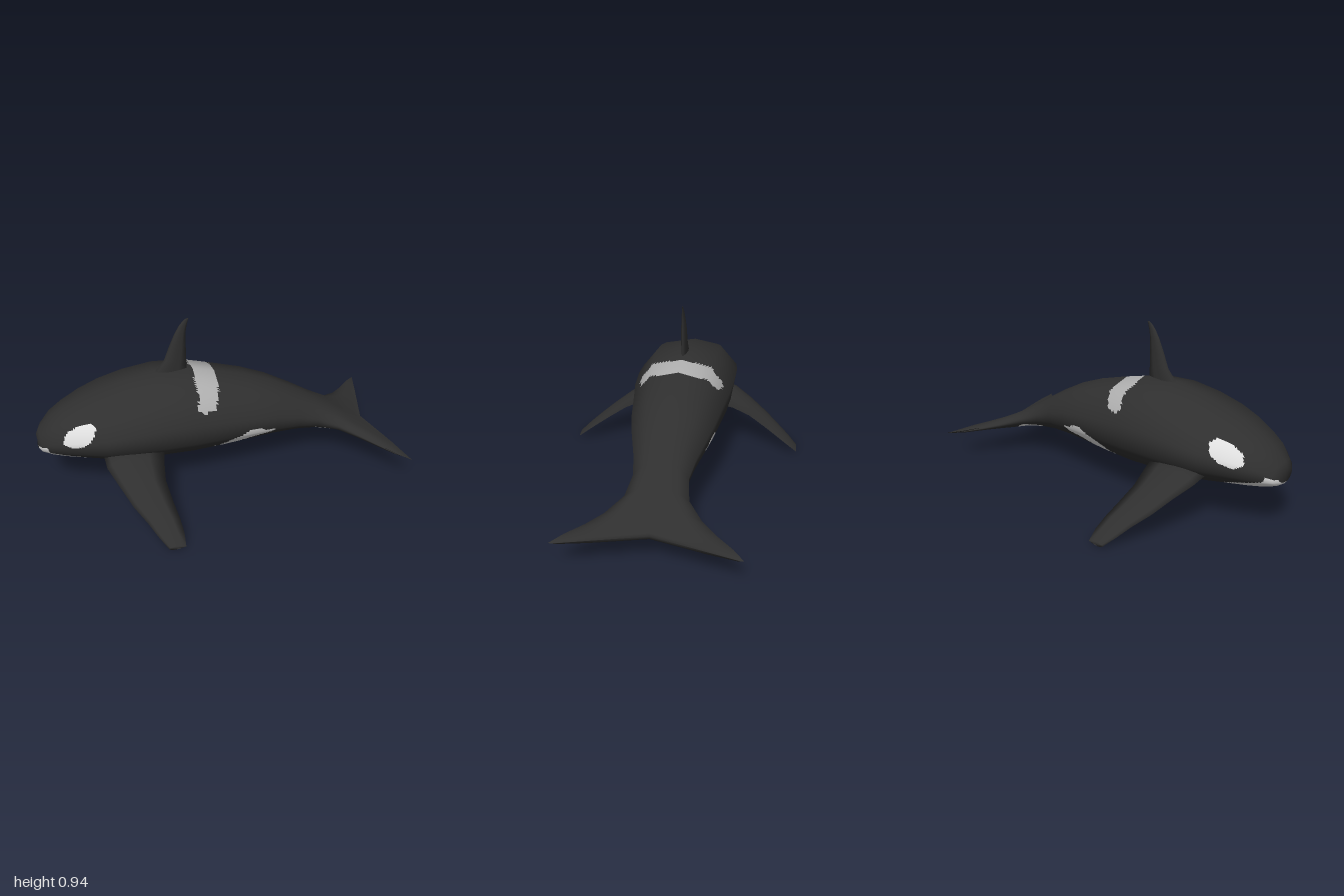
import * as THREE from 'three';

const V = (x, y, z) => new THREE.Vector3(x, y, z);
const black = new THREE.MeshStandardMaterial({ name: 'black skin', color: 0x2f2f2f });
const white = new THREE.MeshStandardMaterial({ name: 'white skin', color: 0xdedede });
const grey = new THREE.MeshStandardMaterial({ name: 'grey saddle', color: 0xaeaeae });

// Closed skin over equal-length rings, capped at both ends, with smooth normals
function loft(rings) {
  const n = rings[0].length, last = rings.length - 1;
  const pts = rings.flat(), index = [];
  const centre = r => r.reduce((s, p) => s.add(p), V(0, 0, 0)).divideScalar(n);
  pts.push(centre(rings[0]), centre(rings[last]));
  for (let j = 0; j < n; j++) {
    const k = (j + 1) % n;
    for (let i = 0; i < last; i++) {
      const a = i * n + j, b = i * n + k, c = a + n, d = b + n;
      index.push(a, b, d, a, d, c);
    }
    index.push(pts.length - 2, k, j, pts.length - 1, last * n + j, last * n + k);
  }
  // turn the faces outward
  let volume = 0;
  for (let i = 0; i < index.length; i += 3) {
    volume += pts[index[i]].dot(V(0, 0, 0).crossVectors(pts[index[i + 1]], pts[index[i + 2]]));
  }
  const flipped = volume < 0;
  if (flipped) index.reverse();
  const geo = new THREE.BufferGeometry().setFromPoints(pts);
  geo.setIndex(index);
  geo.computeVertexNormals();
  geo.userData.flipped = flipped;
  return geo;
}

// Body stations: x at the middle, x at the edge, half width, top, bottom
const stations = [
  [-1.0, -0.99, 0.07, 0.345, 0.28], [-0.985, -0.97, 0.105, 0.38, 0.262], [-0.92, -0.92, 0.15, 0.445, 0.247],
  [-0.85, -0.85, 0.19, 0.49, 0.238], [-0.75, -0.75, 0.235, 0.54, 0.228], [-0.64, -0.64, 0.275, 0.58, 0.215],
  [-0.5, -0.5, 0.288, 0.622, 0.2], [-0.34, -0.34, 0.288, 0.652, 0.19], [-0.17, -0.17, 0.277, 0.65, 0.186],
  [0, 0, 0.252, 0.61, 0.192], [0.16, 0.16, 0.23, 0.567, 0.206], [0.3, 0.3, 0.2, 0.515, 0.212],
  [0.44, 0.44, 0.163, 0.443, 0.207], [0.56, 0.56, 0.14, 0.372, 0.193], [0.68, 0.68, 0.16, 0.3, 0.173],
  [0.755, 0.785, 0.235, 0.25, 0.155], [0.8, 0.86, 0.31, 0.222, 0.147], [0.84, 0.935, 0.395, 0.2, 0.145],
  [0.875, 1.0, 0.45, 0.18, 0.148],
];
const half = [[0, 1], [0.62, 0.91], [1, 0.58], [0.93, 0.3], [0.6, 0.07], [0, 0]];
const section = [...half, ...half.slice(1, 5).reverse().map(([z, h]) => [-z, h])];
const bodyRings = stations.map(([xc, xe, w, t, b]) =>
  section.map(([z, h]) => V(xc + (xe - xc) * Math.abs(z), b + (t - b) * h, z * w)));

// Skin markings in side view
const eyePatch = [[-0.86, 0.385], [-0.84, 0.43], [-0.78, 0.47], [-0.71, 0.495], [-0.685, 0.475],
  [-0.7, 0.435], [-0.75, 0.385], [-0.81, 0.36]];
const saddle = [[-0.11, 0.7], [-0.145, 0.62], [-0.14, 0.57], [-0.15, 0.52], [-0.12, 0.495],
  [-0.05, 0.505], [-0.035, 0.56], [-0.015, 0.6], [-0.025, 0.7]];
const flank = [[-0.08, 0.18], [0, 0.245], [0.07, 0.305], [0.14, 0.345], [0.2, 0.34], [0.24, 0.315],
  [0.285, 0.31], [0.27, 0.275], [0.18, 0.255], [0.1, 0.225], [0.04, 0.18]];
// Half width of the white belly along x
const belly = [[-1, 0.07], [-0.95, 0.125], [-0.8, 0.145], [-0.6, 0.15], [-0.4, 0.13], [-0.2, 0.15],
  [-0.05, 0.16], [0.1, 0.11], [0.3, 0.07], [0.5, 0.07], [0.62, 0.11], [0.7, 0.14], [0.76, 0.11], [0.8, 0]];

function inside(poly, x, y) {
  let hit = false;
  poly.forEach(([ax, ay], i) => {
    const [bx, by] = poly[(i + 1) % poly.length];
    if ((ay > y) !== (by > y) && x < ax + (bx - ax) * (y - ay) / (by - ay)) hit = !hit;
  });
  return hit;
}

function bellyWidth(x) {
  for (let i = 1; i < belly.length; i++) {
    const [ax, aw] = belly[i - 1], [bx, bw] = belly[i];
    if (x <= bx) return aw + (bw - aw) * (x - ax) / (bx - ax);
  }
  return 0;
}

// 0 black, 1 white, 2 grey
function marking(p, normalY) {
  if (inside(saddle, p.x, p.y)) return 2;
  if (inside(eyePatch, p.x, p.y) || inside(flank, p.x, p.y)) return 1;
  return normalY < 0 && Math.abs(p.z) < bellyWidth(p.x) ? 1 : 0;
}

// Body and flukes: coarse skin divided finely so that markings follow whole faces
function makeBody() {
  const coarse = loft(bodyRings), n = section.length, S = 10;
  const read = (name, i, j) => V(0, 0, 0).fromBufferAttribute(coarse.attributes[name], i * n + j % n);
  const sample = (name, u, v) => {
    const i = Math.min(Math.floor(u / S), bodyRings.length - 2), j = Math.floor(v / S);
    const fu = u / S - i, fv = v / S - j;
    return read(name, i, j).lerp(read(name, i + 1, j), fu)
      .lerp(read(name, i, j + 1).lerp(read(name, i + 1, j + 1), fu), fv);
  };
  const U = (bodyRings.length - 1) * S, W = n * S, pts = [], normals = [], lists = [[], [], []];
  for (let u = 0; u <= U; u++) {
    for (let v = 0; v < W; v++) {
      pts.push(sample('position', u, v));
      normals.push(sample('normal', u, v).normalize());
    }
  }
  const face = (a, b, c) => {
    const mid = V(0, 0, 0).add(pts[a]).add(pts[b]).add(pts[c]).divideScalar(3);
    const list = lists[marking(mid, normals[a].y)];
    if (coarse.userData.flipped) list.push(c, b, a);
    else list.push(a, b, c);
  };
  for (let u = 0; u < U; u++) {
    for (let v = 0; v < W; v++) {
      const a = u * W + v, b = u * W + (v + 1) % W;
      face(a, b, b + W);
      face(a, b + W, a + W);
    }
  }
  // snout and trailing edge caps
  [0, bodyRings.length - 1].forEach((r, end) => {
    const c = pts.length;
    pts.push(read('position', bodyRings.length, end));
    normals.push(V(end ? 1 : -1, 0, 0));
    if (end) pts[c].x = stations[r][0];
    for (let v = 0; v < W; v++) {
      const a = r * S * W + v, b = r * S * W + (v + 1) % W;
      if (end) face(c, a, b);
      else face(c, b, a);
    }
  });
  const geo = new THREE.BufferGeometry().setFromPoints(pts);
  geo.setAttribute('normal', new THREE.Float32BufferAttribute(normals.flatMap(p => p.toArray()), 3));
  geo.setIndex(lists.flat());
  let start = 0;
  lists.forEach((list, m) => {
    geo.addGroup(start, list.length, m);
    start += list.length;
  });
  return new THREE.Mesh(geo, [black, white, grey]);
}

// Lens-shaped fin section: position along the chord, thickness
const lens = [[0, 0], [0.08, 0.55], [0.25, 0.92], [0.45, 1], [0.75, 0.6], [1, 0],
  [0.75, -0.6], [0.45, -1], [0.25, -0.92], [0.08, -0.55]];

export function createModel() {
  const model = new THREE.Group();
  const add = (mesh, name) => {
    mesh.name = name;
    model.add(mesh);
  };
  add(makeBody(), 'bodyAndFlukes');

  // Dorsal fin: y, leading x, trailing x, half thickness
  const dorsal = [[0.6, -0.37, -0.165, 0.02], [0.65, -0.34, -0.168, 0.02], [0.71, -0.29, -0.17, 0.018],
    [0.79, -0.26, -0.17, 0.016], [0.86, -0.23, -0.17, 0.011], [0.905, -0.205, -0.163, 0.007],
    [0.935, -0.18, -0.155, 0.003], [0.945, -0.165, -0.152, 0.001]];
  add(new THREE.Mesh(loft(dorsal.map(([y, a, b, t]) =>
    lens.map(([u, s]) => V(a + (b - a) * u, y, s * t)))), black), 'dorsalFin');

  // Pectoral fins: z, y, leading x, trailing x, half thickness
  const pectoral = [[0.18, 0.285, -0.66, -0.33, 0.05], [0.28, 0.262, -0.65, -0.35, 0.045],
    [0.38, 0.212, -0.6, -0.36, 0.034], [0.48, 0.15, -0.545, -0.34, 0.028], [0.56, 0.098, -0.485, -0.32, 0.023],
    [0.62, 0.056, -0.445, -0.31, 0.017], [0.675, 0.013, -0.4, -0.312, 0.011]];
  for (const side of [1, -1]) {
    add(new THREE.Mesh(loft(pectoral.map(([z, y, a, b, t]) =>
      lens.map(([u, s]) => V(a + (b - a) * u, y + s * t, side * z)))), black),
    side > 0 ? 'frontPectoralFin' : 'backPectoralFin');
  }
  return model;
}
